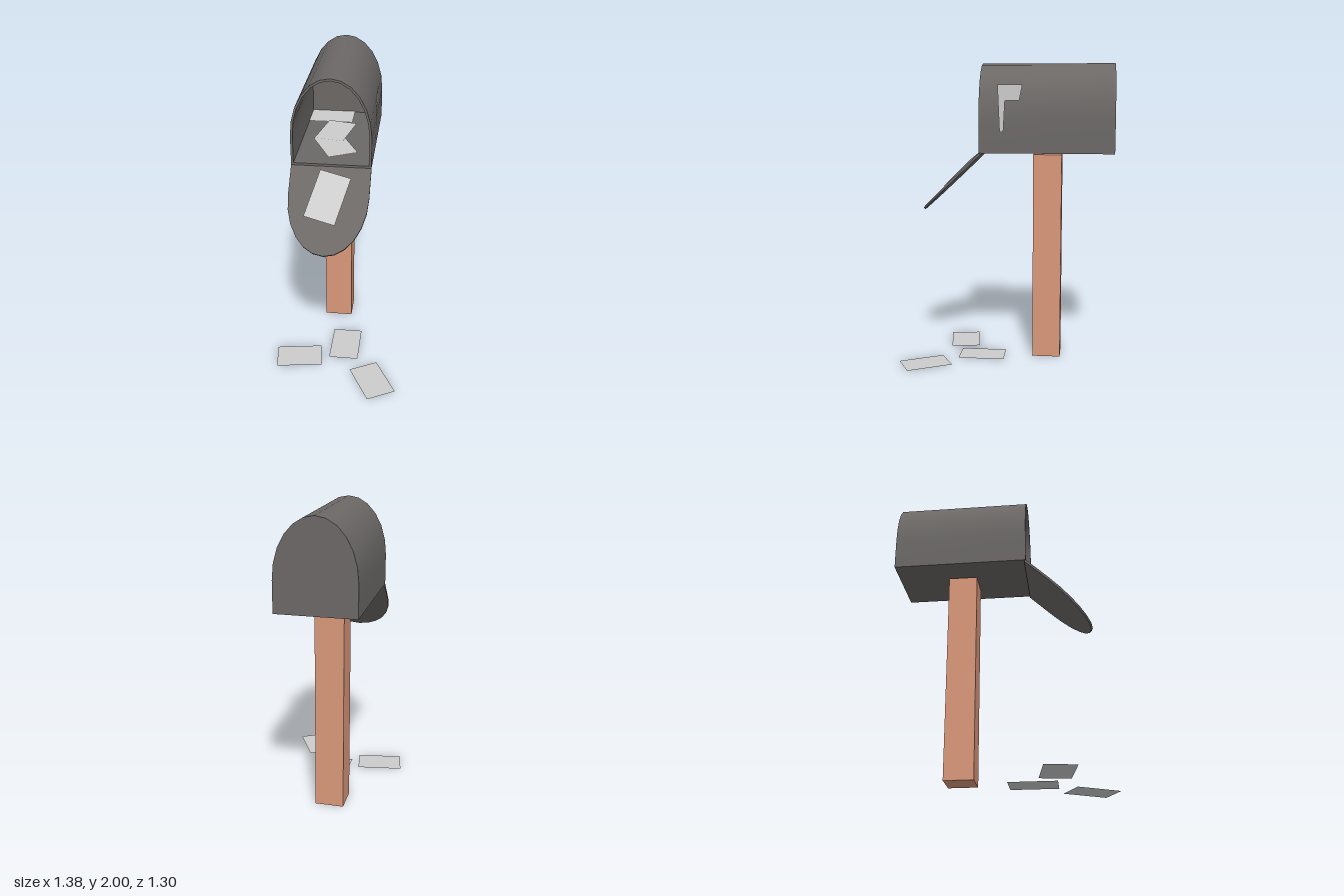
import * as THREE from 'three';
import { toCreasedNormals } from 'three/addons/utils/BufferGeometryUtils.js';

const W = 0.255, WALL = 0.2, RISE = 0.38, LENGTH = 0.88, T = 0.015, BASE = 1.42;
const YAW = 0.6435;

const metal = new THREE.MeshStandardMaterial({ color: 0x6b6866 });
const wood = new THREE.MeshStandardMaterial({ color: 0xd9987a });
const paper = new THREE.MeshStandardMaterial({ color: 0xcccccc, side: THREE.DoubleSide });

function add(parent, name, geometry, material, x = 0, y = 0, z = 0) {
  const mesh = new THREE.Mesh(geometry, material);
  mesh.name = name;
  mesh.position.set(x, y, z);
  parent.add(mesh);
  return mesh;
}

// Straight walls with an elliptical top, shrunk by an inset
function arch(path, inset = 0) {
  const w = W - inset;
  path.moveTo(-w, inset);
  path.lineTo(w, inset);
  path.lineTo(w, WALL);
  path.absellipse(0, WALL, w, RISE - inset, 0, Math.PI, false);
  path.closePath();
  return path;
}

function extrude(shape, depth) {
  const g = new THREE.ExtrudeGeometry(shape, { depth, bevelEnabled: false, curveSegments: 6 });
  return toCreasedNormals(g, 0.6);
}

// Flat sheet of paper lying level, turned about y
function letter(parent, x, y, z, angle) {
  const g = new THREE.PlaneGeometry(0.2, 0.31).rotateX(-Math.PI / 2);
  add(parent, 'letter', g, paper, x, y, z).rotation.y = angle;
}

export function createModel() {
  const root = new THREE.Group();
  root.name = 'mailboxScene';

  // Mailbox and post, turned together
  const mailbox = new THREE.Group();
  mailbox.name = 'mailbox';
  mailbox.position.set(-0.224, 0, -0.148);
  mailbox.rotation.y = YAW;
  root.add(mailbox);

  add(mailbox, 'post', new THREE.BoxGeometry(0.19, 1.4, 0.19), wood, 0, 0.7, 0);

  // Hollow body with a closed back
  const tube = arch(new THREE.Shape());
  tube.holes.push(arch(new THREE.Path(), T));
  add(mailbox, 'body', extrude(tube, LENGTH - T), metal, 0, BASE, -LENGTH / 2 + T);
  add(mailbox, 'backWall', extrude(arch(new THREE.Shape()), T), metal, 0, BASE, -LENGTH / 2);

  // Open door hinged at the lower front edge, with a letter on it
  const door = new THREE.Group();
  door.name = 'door';
  door.position.set(0, BASE, LENGTH / 2);
  door.rotation.x = 2.335;
  mailbox.add(door);
  add(door, 'doorPanel', extrude(arch(new THREE.Shape()), T), metal);
  add(door, 'doorLetter', new THREE.PlaneGeometry(0.205, 0.32), paper, -0.005, 0.207, -0.012).rotation.z = 0.25;

  // Raised signal flag on the left side, drawn as (z, y)
  const outline = [[0.315, 1.86], [0.155, 1.86], [0.175, 1.76], [0.267, 1.76], [0.278, 1.56], [0.302, 1.56]];
  const flag = new THREE.Shape(outline.map(([z, y]) => new THREE.Vector2(-z, y)));
  add(mailbox, 'flag', new THREE.ShapeGeometry(flag), paper, 0.268, 0, 0).rotation.y = Math.PI / 2;

  // Letters inside the box
  letter(mailbox, -0.09, BASE + 0.021, -0.33, Math.PI / 2);
  letter(mailbox, -0.03, BASE + 0.027, -0.06, -0.2);
  letter(mailbox, -0.01, BASE + 0.021, 0.16, 0.455);

  // Letters fallen on the ground
  letter(root, 0.505, 0.002, 0.31, 1.13);
  letter(root, -0.034, 0.002, 0.468, 2.37);
  letter(root, 0.114, 0.002, 0.152, YAW);

  return root;
}
